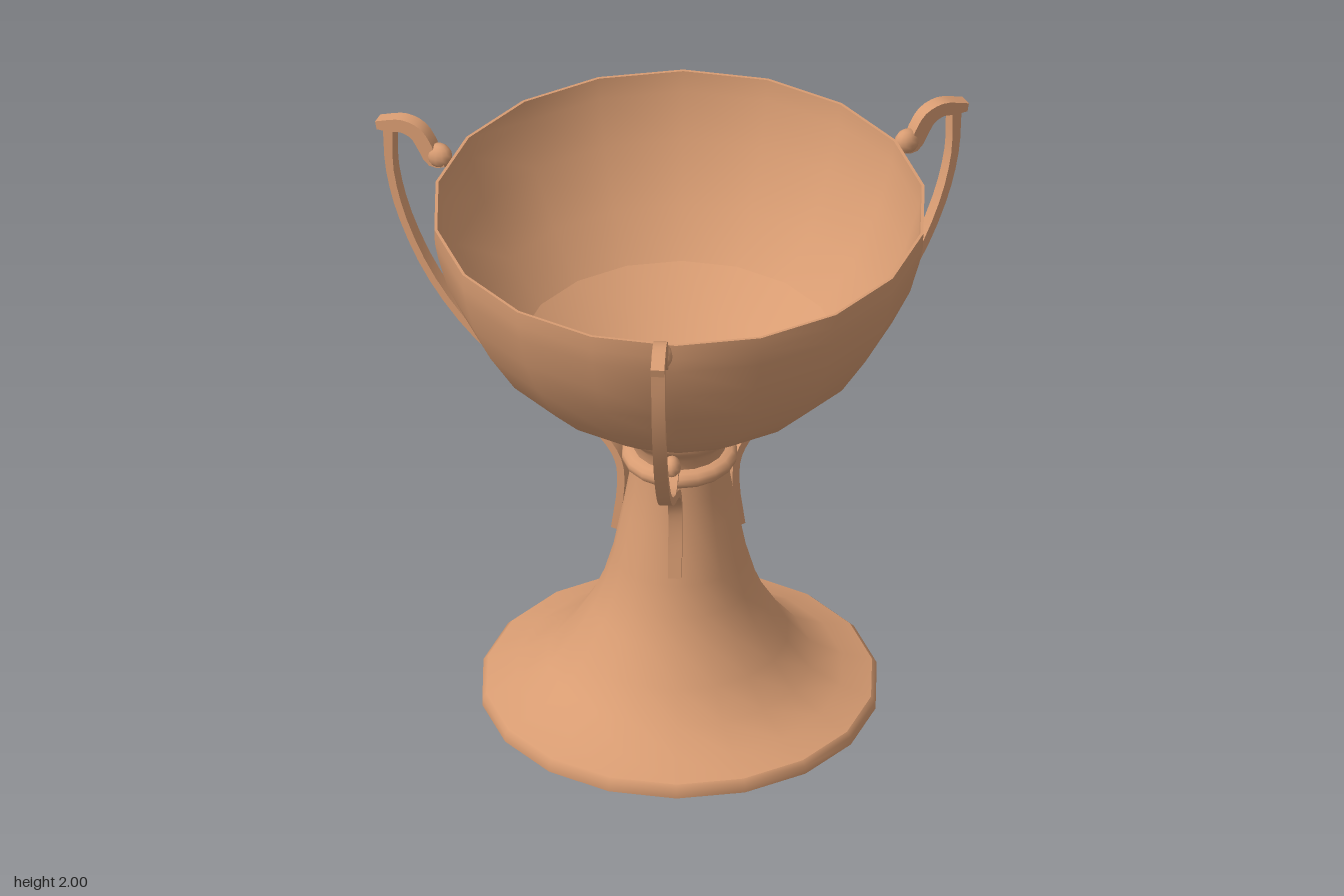
import * as THREE from 'three';
import { toCreasedNormals } from 'three/addons/utils/BufferGeometryUtils.js';

const SIDES = 18;
const PHI = THREE.MathUtils.degToRad(3);
const WIDTH = 0.045;

export function createModel() {
  const bronze = new THREE.MeshStandardMaterial({ color: 0xd89c72 });
  bronze.name = 'bronze';

  const model = new THREE.Group();
  model.name = 'trophyCup';
  // The cup's axis sits off centre because the three handles are unevenly spaced
  const cup = new THREE.Group();
  cup.name = 'cup';
  cup.position.set(0.05, 0, -0.13);
  model.add(cup);

  function add(parent, name, geometry) {
    const mesh = new THREE.Mesh(geometry, bronze);
    mesh.name = name;
    parent.add(mesh);
    return mesh;
  }
  // Turned part; rising profiles face outward, falling ones inward
  function turned(name, profile) {
    const points = profile.map(([r, y]) => new THREE.Vector2(r, y));
    return add(cup, name, new THREE.LatheGeometry(points, SIDES, PHI));
  }

  // Foot and stem
  turned('footUnderside', [[0.62, 0], [0.655, 0]]);
  turned('footEdge', [[0.655, 0], [0.655, 0.03], [0.64, 0.045]]);
  turned('stem', [[0.64, 0.045], [0.54, 0.078], [0.437, 0.135], [0.36, 0.23], [0.29, 0.345],
    [0.25, 0.44], [0.22, 0.546], [0.185, 0.73], [0.168, 0.83], [0.16, 0.93]]);
  turned('footLip', [[0.62, 0.03], [0.62, 0]]);
  turned('footHollow', [[0, 0.6], [0.19, 0.56], [0.26, 0.35], [0.41, 0.13], [0.62, 0.03]]);

  // Collar ring and neck
  turned('collarRing', [[0.155, 0.9], [0.175, 0.903], [0.188, 0.915], [0.191, 0.93],
    [0.188, 0.944], [0.175, 0.956], [0.152, 0.96]]);
  turned('neck', [[0.15, 0.95], [0.155, 0.995], [0.178, 1.025], [0.203, 1.05], [0.212, 1.075], [0.212, 1.115]]);

  // Bowl: outer wall, thin rim and hollow
  turned('bowlOuter', [[0, 1.09], [0.22, 1.103], [0.38, 1.18], [0.51, 1.275], [0.62, 1.385],
    [0.71, 1.53], [0.77, 1.66], [0.802, 1.78], [0.813, 1.84], [0.815, 1.895]]);
  turned('bowlRim', [[0.815, 1.895], [0.805, 1.895]]);
  turned('bowlInnerWall', [[0.805, 1.895], [0.797, 1.82], [0.75, 1.66], [0.65, 1.47], [0.53, 1.33]]);
  turned('bowlFloor', [[0.53, 1.33], [0.38, 1.22], [0.2, 1.14], [0, 1.115]]);

  // Flat strip following [radius, height, thickness] points
  function strip(points) {
    const curve = new THREE.CatmullRomCurve3(points.map(([r, y]) => new THREE.Vector3(r, y, 0)));
    const n = (points.length - 1) * 3;
    const left = [], right = [];
    for (let i = 0; i <= n; i++) {
      const u = i / n;
      const p = curve.getPoint(u), t = curve.getTangent(u);
      const k = Math.min(Math.floor(u * (points.length - 1)), points.length - 2);
      const half = THREE.MathUtils.lerp(points[k][2], points[k + 1][2], u * (points.length - 1) - k) / 2;
      left.push(new THREE.Vector2(p.x - t.y * half, p.y + t.x * half));
      right.unshift(new THREE.Vector2(p.x + t.y * half, p.y - t.x * half));
    }
    const geometry = new THREE.ExtrudeGeometry(new THREE.Shape([...left, ...right]), { depth: WIDTH, bevelEnabled: false });
    geometry.translate(0, 0, -WIDTH / 2);
    return toCreasedNormals(geometry, 0.6);
  }
  // Rounded end of a curl, slightly wider than the strip
  function scroll(handle, name, r, y, radius, width) {
    const geometry = new THREE.SphereGeometry(radius, 12, 8);
    geometry.scale(1, 1, width / (2 * radius));
    add(handle, name, geometry).position.set(r, y, 0);
  }

  const arm = strip([[0.222, 0.585, 0.026], [0.2, 0.76, 0.026], [0.21, 0.86, 0.026], [0.27, 0.944, 0.026],
    [0.4, 1.03, 0.028], [0.53, 1.098, 0.03], [0.71, 1.215, 0.026], [0.87, 1.4, 0.026],
    [0.975, 1.61, 0.026], [1.022, 1.79, 0.028], [1.03, 1.95, 0.034]]);
  const hook = strip([[1.072, 1.955, 0.03], [1.03, 1.963, 0.045], [0.98, 1.974, 0.05], [0.93, 1.957, 0.055],
    [0.897, 1.91, 0.055], [0.872, 1.865, 0.045], [0.83, 1.87, 0.035]]);
  const spur = strip([[0.53, 1.098, 0.022], [0.46, 1.082, 0.022], [0.4, 1.088, 0.028], [0.365, 1.105, 0.035]]);

  // Three handles around the bowl
  [['frontHandle', 0], ['leftHandle', 123], ['rightHandle', -109]].forEach(([name, angle]) => {
    const handle = new THREE.Group();
    handle.name = name;
    handle.rotation.y = THREE.MathUtils.degToRad(angle - 90);
    add(handle, 'handleArm', arm);
    add(handle, 'handleHook', hook);
    add(handle, 'handleSpur', spur);
    scroll(handle, 'upperScroll', 0.855, 1.88, 0.044, 0.07);
    scroll(handle, 'lowerScroll', 0.37, 1.117, 0.039, 0.06);
    cup.add(handle);
  });

  return model;
}
